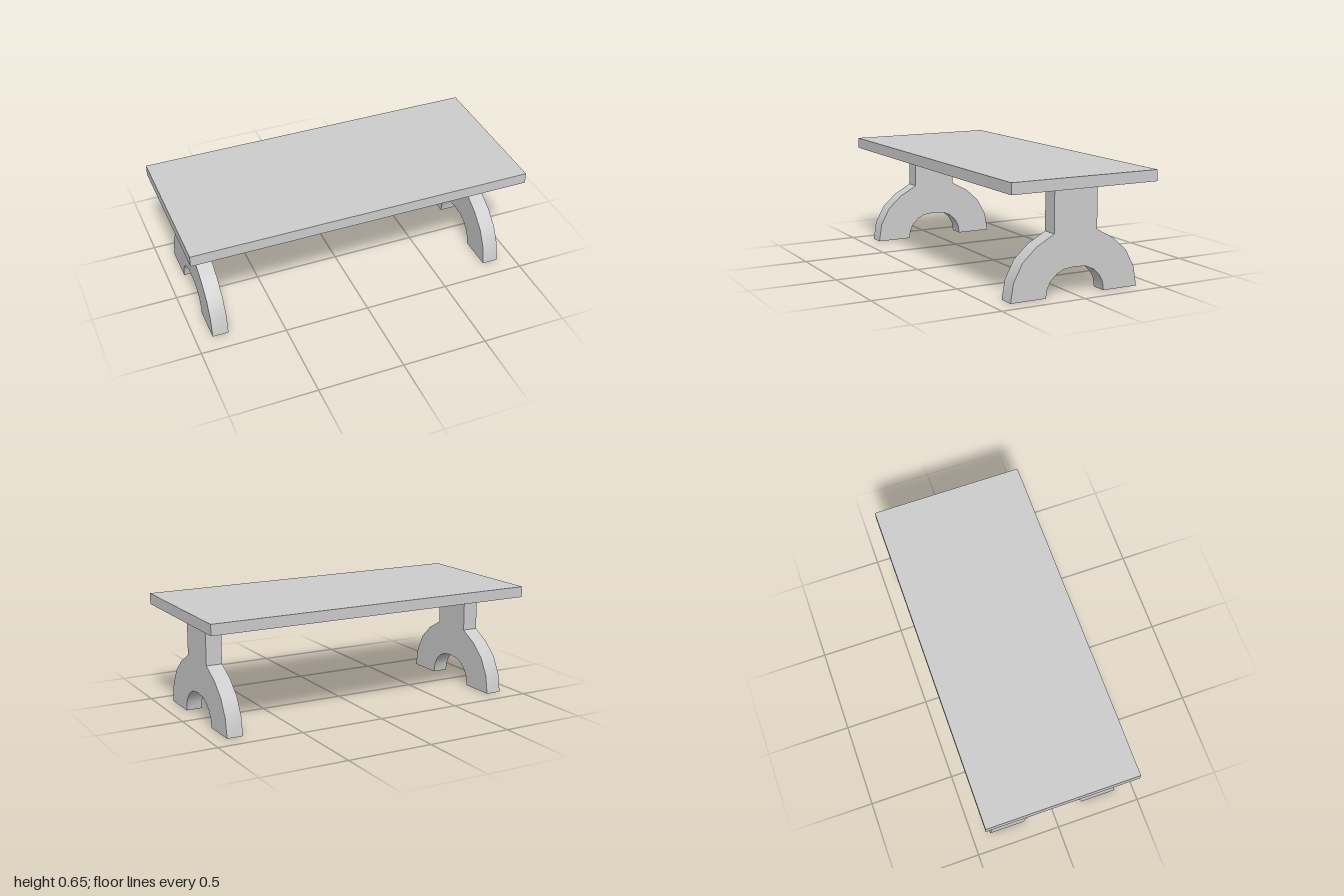
import * as THREE from 'three';
import { toCreasedNormals } from 'three/addons/utils/BufferGeometryUtils.js';

const material = new THREE.MeshStandardMaterial({ color: 0xcccccc });

// Half outline of a trestle as [z, y]: arch underside, foot, shoulder, post
const arch = [[0, 0.153], [0.068, 0.146], [0.115, 0.125], [0.151, 0.092], [0.174, 0.05], [0.181, 0]];
const shoulder = [[0.394, 0], [0.376, 0.108], [0.323, 0.207], [0.239, 0.283], [0.133, 0.341], [0.133, 0.588]];
const legThickness = 0.093;

function legGeometry() {
  const half = [...arch, ...shoulder];
  const mirrored = half.slice(1).reverse().map(([z, y]) => [-z, y]);
  const shape = new THREE.Shape([...half, ...mirrored].map(([z, y]) => new THREE.Vector2(z, y)));
  const geometry = new THREE.ExtrudeGeometry(shape, { depth: legThickness, bevelEnabled: false });
  geometry.translate(0, 0, -legThickness / 2);
  geometry.rotateY(Math.PI / 2);
  // Smooth along the curves, sharp at the corners
  return toCreasedNormals(geometry, 0.4);
}

export function createModel() {
  const model = new THREE.Group();
  model.name = 'table';

  // Flat top board
  const top = new THREE.Mesh(new THREE.BoxGeometry(2, 0.063, 0.894), material);
  top.name = 'tableTop';
  top.position.y = 0.6195;
  model.add(top);

  // Matching arched trestle legs near each end
  const geometry = legGeometry();
  for (const [name, side] of [['leftLeg', 1], ['rightLeg', -1]]) {
    const leg = new THREE.Mesh(geometry, material);
    leg.name = name;
    leg.position.x = side * 0.855;
    model.add(leg);
  }
  return model;
}
